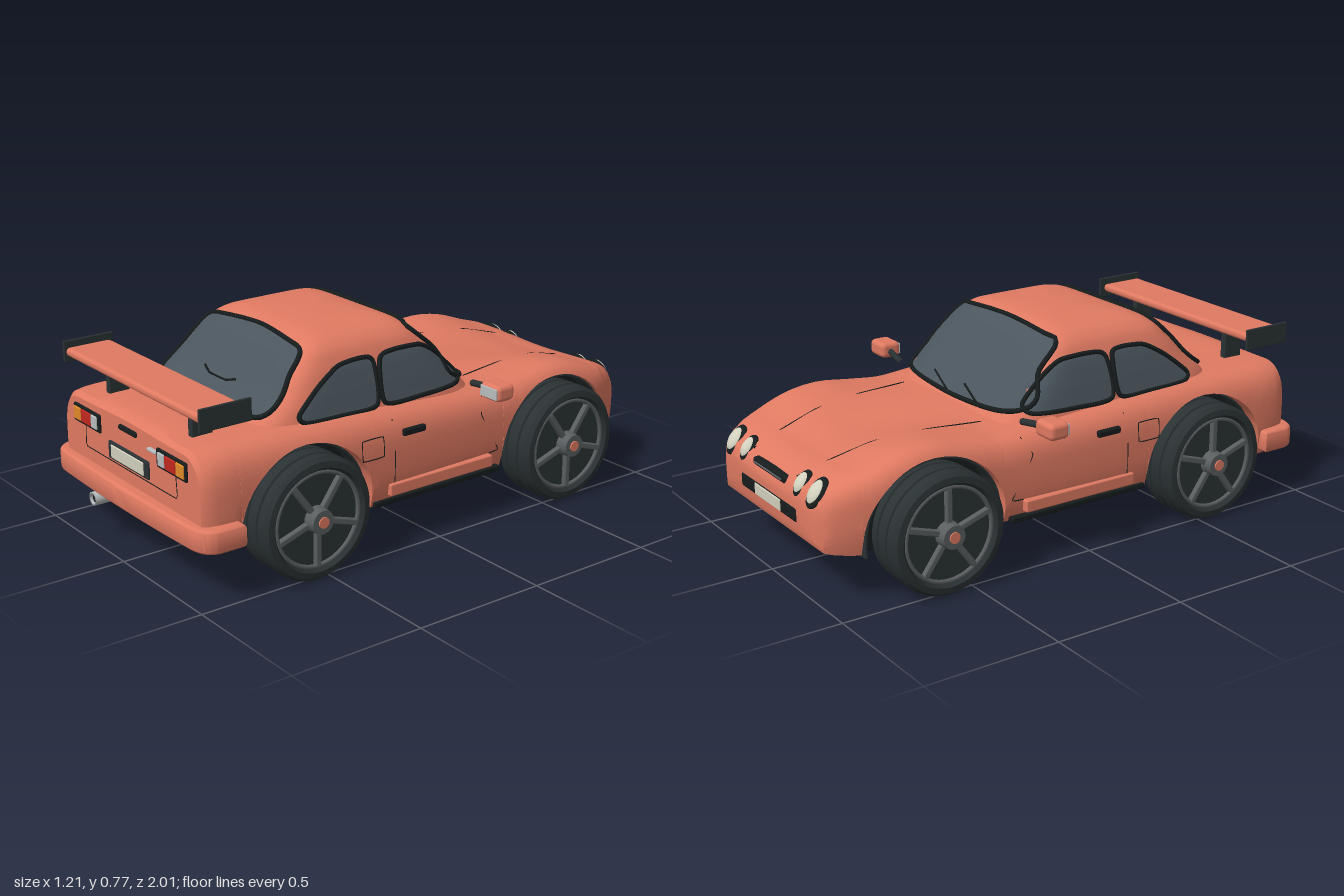
import * as THREE from 'three';
import { toCreasedNormals } from 'three/addons/utils/BufferGeometryUtils.js';
import { RoundedBoxGeometry } from 'three/addons/geometries/RoundedBoxGeometry.js';

const mat = (color, side = THREE.FrontSide) => new THREE.MeshStandardMaterial({ color, side });
const paint = mat(0xe07a62), dark = mat(0x2b3234), black = mat(0x171c1d), steel = mat(0x5a5e60);
const glass = mat(0x4a555d, THREE.DoubleSide), silver = mat(0xb9bdbd), cream = mat(0xd2d0bd);
const amber = mat(0xe08a28), red = mat(0xc0281f);
const V = (x, y, z) => new THREE.Vector3(x, y, z);

// Smooth lookup through rows of [key, ...values]
function table(rows) {
  const f = new THREE.CubicInterpolant(rows.map(r => r[0]), rows.flatMap(r => r.slice(1)), rows[0].length - 1);
  return t => [...f.evaluate(t)];
}

// z: half width, crest height, centre height, crest x, underside height
const bodyRows = [
  [-1, .33, .345, .34, .26, .22], [-.985, .365, .38, .37, .29, .19], [-.95, .39, .41, .4, .31, .18],
  [-.83, .44, .45, .425, .36, .17], [-.72, .455, .487, .445, .37, .17], [-.6, .46, .502, .455, .375, .17],
  [-.45, .46, .487, .47, .37, .17], [-.33, .46, .477, .48, .36, .17], [-.2, .465, .485, .49, .36, .17],
  [.1, .473, .5, .5, .37, .17], [.3, .475, .51, .515, .37, .17], [.55, .475, .515, .52, .37, .17],
  [.75, .475, .515, .52, .37, .17], [.9, .47, .513, .52, .37, .18], [.94, .46, .51, .515, .36, .19],
  [.957, .445, .495, .503, .35, .2]];
const bodyAt = table(bodyRows);
// y: half width, front z, rear z
const cabinRows = [
  [.46, .405, -.285, .69], [.52, .39, -.24, .665], [.6, .37, -.165, .575], [.68, .343, -.09, .5],
  [.73, .31, -.035, .445], [.755, .265, .005, .39], [.766, .21, .04, .34], [.772, .12, .09, .26]];
const cabinAt = table(cabinRows);
const AXLES = [-.6, .55], ARCH = .27, RISE = .245, HUB = .22, P = 7;

// Points on the body and cabin surfaces
function bodyX(z, y) {
  const [w, ys, , xc] = bodyAt(z), y0 = Math.min(.3, ys - .12);
  const u = Math.min(1, Math.max(0, (y - y0) / (ys - y0)));
  return xc + (w - xc) * Math.sqrt(1 - u ** 4) - .02 * (Math.max(0, y0 - y) / .13) ** 2;
}
function bodyY(z, x) {
  const [, ys, yc, xc] = bodyAt(z);
  return yc + (ys - yc) * THREE.MathUtils.smoothstep(Math.abs(x), 0, xc);
}
const bulge = t => Math.max(0, 1 - Math.abs(t) ** P) ** (1 / P);
function cabinX(z, y) {
  const [w, f, r] = cabinAt(y);
  return w * bulge((z - (f + r) / 2) / ((r - f) / 2));
}
function cabinZ(x, y, s) {
  const [w, f, r] = cabinAt(y);
  return (f + r) / 2 + s * (r - f) / 2 * bulge(x / w);
}

// Skin over equal rings, both ends closed
function loft(rings) {
  const n = rings[0].length, pos = rings.flat(), index = [];
  for (let k = 0; k + 1 < rings.length; k++) for (let i = 0; i < n; i++) {
    const a = k * n + i, b = k * n + (i + 1) % n;
    index.push(a, b, a + n, b, b + n, a + n);
  }
  [0, rings.length - 1].forEach((k, end) => {
    const c = pos.length;
    pos.push(rings[k].reduce((s, p) => s.add(p), V(0, 0, 0)).divideScalar(n));
    for (let i = 0; i < n; i++) {
      const a = k * n + i, b = k * n + (i + 1) % n;
      end ? index.push(c, a, b) : index.push(c, b, a);
    }
  });
  const g = new THREE.BufferGeometry().setFromPoints(pos);
  g.setIndex(index);
  return toCreasedNormals(g, .6);
}

function bodyGeometry() {
  const zs = bodyRows.map(r => r[0]);
  for (let z = -.9; z < .9; z += .05) zs.push(z);
  for (const c of AXLES) for (let i = 0; i <= 20; i++) zs.push(c - ARCH * .9999 * Math.cos(i / 20 * Math.PI));
  for (const c of AXLES) zs.push(c - ARCH - .0005, c + ARCH + .0005);
  zs.sort((a, b) => a - b);
  return loft(zs.map(z => {
    const [, ys, , xc, floor] = bodyAt(z);
    let yb = floor;
    for (const c of AXLES) if (Math.abs(z - c) < ARCH) yb = HUB + RISE * Math.sqrt(1 - ((z - c) / ARCH) ** 2);
    const half = [];
    for (let i = 0; i <= 14; i++) {
      const y = yb + (ys - yb) * Math.sin(i / 14 * Math.PI / 2);
      half.push(V(bodyX(z, y), y, z));
    }
    for (let i = 7; i >= 0; i--) half.push(V(xc * i / 8, bodyY(z, xc * i / 8), z));
    return [...half, ...half.slice(0, -1).reverse().map(p => V(-p.x, p.y, z))];
  }));
}

function cabinGeometry() {
  const ys = [];
  for (let i = 0; i <= 24; i++) ys.push(.46 + .312 * Math.sin(i / 24 * Math.PI / 2));
  return loft(ys.map(y => {
    const [w, f, r] = cabinAt(y), ring = [];
    for (let i = 0; i < 72; i++) {
      const a = i / 72 * Math.PI * 2, c = Math.cos(a), s = Math.sin(a);
      ring.push(V(w * Math.sign(c) * Math.abs(c) ** (2 / P), y, (f + r) / 2 - (r - f) / 2 * Math.sign(s) * Math.abs(s) ** (2 / P)));
    }
    return ring;
  }));
}

// Opening above a wheel in (z, y); inset shrinks it
function archPoints(inset) {
  const pts = [new THREE.Vector2(ARCH - inset, .165)];
  for (let i = 0; i <= 24; i++) {
    const a = i / 24 * Math.PI;
    pts.push(new THREE.Vector2((ARCH - inset) * Math.cos(a), HUB + (RISE - inset) * Math.sin(a)));
  }
  return [...pts, new THREE.Vector2(inset - ARCH, .165)];
}

export function createModel() {
  const car = new THREE.Group();
  car.name = 'car';
  const add = (name, g, m, x = 0, y = 0, z = 0, parent = car) => {
    const mesh = new THREE.Mesh(g, m);
    mesh.name = name;
    mesh.position.set(x, y, z);
    parent.add(mesh);
    return mesh;
  };
  const box = (name, m, w, h, d, x, y, z, r = .006) => add(name, new RoundedBoxGeometry(w, h, d, 2, r), m, x, y, z);
  const line = (name, pts, r = .002, closed = false, m = black) =>
    add(name, new THREE.TubeGeometry(new THREE.CatmullRomCurve3(pts, closed, 'catmullrom', .1), pts.length * 8, r, 6, closed), m);

  // Glass laid on the cabin surface, with a rubber seal round it
  function pane(name, outline, project) {
    const curve = new THREE.CatmullRomCurve3(outline.map(p => V(p[0], p[1], 0)), true, 'catmullrom', .35);
    const edge = curve.getSpacedPoints(64).slice(0, 64), pos = [], index = [];
    const mid = edge.reduce((s, p) => s.add(p), V(0, 0, 0)).divideScalar(64);
    for (let k = 0; k <= 8; k++) for (let i = 0; i < 64; i++) {
      const p = mid.clone().lerp(edge[i], k / 8), j = (i + 1) % 64;
      pos.push(project(p.x, p.y));
      if (k < 8) index.push(k * 64 + i, k * 64 + 64 + i, k * 64 + j, k * 64 + j, k * 64 + 64 + i, k * 64 + 64 + j);
    }
    const g = new THREE.BufferGeometry().setFromPoints(pos);
    g.setIndex(index);
    g.computeVertexNormals();
    add(name, g, glass);
    add(name + 'Seal', new THREE.TubeGeometry(new THREE.CatmullRomCurve3(pos.slice(-64), true), 96, .009, 6, true), black);
  }

  add('body', bodyGeometry(), paint);
  add('cabin', cabinGeometry(), paint);
  box('underbody', black, .72, .19, 1.78, 0, .25, .02);

  // Windows
  pane('windshield', [[-.285, .735], [0, .752], [.285, .735], [.325, .64], [.355, .525], [0, .5], [-.355, .525], [-.325, .64]],
    (x, y) => V(x, y + .002, cabinZ(x, y, -1) - .006));
  pane('rearWindow', [[-.265, .73], [0, .748], [.265, .73], [.305, .66], [.32, .54], [0, .53], [-.32, .54], [-.305, .66]],
    (x, y) => V(x, y + .002, cabinZ(x, y, 1) + .006));
  for (const s of [1, -1]) {
    pane('doorWindow', [[.17, .515], [.165, .66], [.1, .68], [-.02, .675], [-.09, .635], [-.185, .545], [-.165, .515], [0, .508]],
      (z, y) => V(s * (cabinX(z, y) + .005), y, z));
    pane('quarterWindow', [[.205, .515], [.195, .66], [.24, .678], [.34, .67], [.43, .62], [.525, .54], [.5, .512], [.35, .508]],
      (z, y) => V(s * (cabinX(z, y) + .005), y, z));
    // Windshield wiper
    line('wiper', [[s < 0 ? -.18 : .02, .51], [s < 0 ? -.05 : .15, .545]].map(([x, y]) => V(x, y, cabinZ(x, y, -1) - .014)), .004);
  }
  line('rearWiper', [[-.1, .605], [-.05, .592], [.05, .592], [.1, .605]].map(([x, y]) => V(x, y, cabinZ(x, y, 1) + .014)), .004);

  // Wheels: tyre with tread grooves, recessed rim and five spokes
  const tyre = new THREE.LatheGeometry([[.165, .06], [.185, .083], [.207, .08], [.219, .065], [.22, .034], [.212, .031], [.212, .025],
    [.22, .022], [.22, -.022], [.212, -.025], [.212, -.031], [.22, -.034], [.219, -.065], [.207, -.08], [.165, -.083], [.001, -.075]]
    .reverse().map(p => new THREE.Vector2(...p)), 56);
  const tyreGeo = toCreasedNormals(tyre, .5);
  for (const s of [1, -1]) for (const z of AXLES) {
    const wheel = new THREE.Group();
    wheel.name = z < 0 ? 'frontWheel' : 'rearWheel';
    wheel.position.set(s * .453, HUB, z);
    wheel.rotation.z = -s * Math.PI / 2;
    car.add(wheel);
    add('tyre', tyreGeo, dark, 0, 0, 0, wheel);
    add('rimDisc', new THREE.CylinderGeometry(.17, .17, .11, 40), dark, 0, 0, 0, wheel);
    add('rimRing', new THREE.TorusGeometry(.168, .008, 8, 48), steel, 0, .066, 0, wheel).rotation.x = Math.PI / 2;
    add('hub', new THREE.CylinderGeometry(.042, .048, .05, 24), steel, 0, .075, 0, wheel);
    add('hubCap', new THREE.CylinderGeometry(.02, .022, .05, 20), paint, 0, .08, 0, wheel);
    for (let i = 0; i < 5; i++) {
      const arm = new THREE.Group();
      arm.rotation.y = i * Math.PI * .4;
      wheel.add(arm);
      add('spoke', new RoundedBoxGeometry(.135, .024, .022, 1, .005), steel, .1, .062, 0, arm);
    }
    // Wheel well: inner wall and arch lining
    const ring = new THREE.Shape([...archPoints(.003), ...archPoints(.01).reverse()]);
    const turn = (g, x0) => g.rotateY(Math.PI / 2).translate(x0, 0, 0);
    const wall = turn(new THREE.ExtrudeGeometry(new THREE.Shape(archPoints(.006)), { depth: .03, bevelEnabled: false }), s > 0 ? .335 : -.365);
    const lining = turn(new THREE.ExtrudeGeometry(ring, { depth: .075, bevelEnabled: false }), s > 0 ? .355 : -.43);
    add('wellWall', wall, black, 0, 0, z);
    add('wellLining', lining, dark, 0, 0, z);
  }

  for (const s of [1, -1]) {
    const onSide = pts => pts.map(([z, y]) => V(s * (bodyX(z, y) + .0005), y, z));
    // Sills, door seams, fuel flap and handle
    box('sill', paint, .03, .045, .47, s * .468, .222, -.025);
    box('sillSkirt', black, .05, .022, .58, s * .445, .177, -.02);
    line('doorRearSeam', onSide([[.185, .24], [.185, .35], [.18, .47]]));
    line('doorFrontSeam', onSide([[-.26, .245], [-.305, .25], [-.22, .4], [-.25, .46]]));
    line('fuelFlapSeam', onSide([[.325, .355], [.325, .425], [.235, .425], [.235, .355]]), .002, true);
    box('doorHandle', black, .02, .026, .1, s * (bodyX(.1, .42) + .003), .42, .1, .008);
    line('hoodSeam', [-.97, -.85, -.7, -.5, -.3].map(z => {
      const x = s * THREE.MathUtils.mapLinear(z, -1, -.3, .155, .26);
      return V(x, bodyY(z, x), z);
    }));

    // Door mirrors
    line('mirrorArm', [V(s * .4, .505, -.225), V(s * .45, .512, -.22), V(s * .52, .52, -.21)], .012, false, dark);
    box('mirror', paint, .1, .06, .08, s * .553, .522, -.207, .018);
    box('mirrorGlass', silver, .085, .04, .006, s * .553, .522, -.167, .002);

    // Twin headlights
    for (const [x, r] of [[.3, .036], [.2, .031]]) for (const [name, m, k, d] of [['headlightRim', black, 1.2, .018], ['headlight', cream, 1, .026]]) {
      const lamp = add(name, new THREE.SphereGeometry(1, 24, 16), m, s * x, .38, -.968);
      lamp.scale.set(r * k, r * k * 1.35, d);
      lamp.rotation.x = Math.PI + .64;
    }

    // Tail light cluster
    box('tailLightFrame', black, .185, .068, .02, s * .282, .438, .955);
    box('turnLamp', amber, .048, .048, .012, s * .341, .438, .964, .004);
    box('brakeLamp', red, .066, .048, .012, s * .281, .438, .964, .004);
    box('reverseLamp', silver, .04, .048, .012, s * .224, .438, .964, .004);

    // Wing supports and end plates
    box('wingSupport', dark, .026, .12, .08, s * .27, .57, .84, .004);
    box('wingEndPlate', dark, .01, .08, .2, s * .445, .635, .855, .004);
  }
  box('wing', paint, .88, .032, .18, 0, .636, .86, .014);

  // Rear bumper, wrapped round the corners
  const plan = new THREE.Shape();
  plan.moveTo(-.495, -.84);
  plan.lineTo(.495, -.84);
  plan.lineTo(.495, -.92);
  plan.quadraticCurveTo(.49, -.97, .42, -.975);
  plan.quadraticCurveTo(0, -.995, -.42, -.975);
  plan.quadraticCurveTo(-.49, -.97, -.495, -.92);
  const bumper = new THREE.ExtrudeGeometry(plan, { depth: .05, bevelThickness: .017, bevelSize: .015, bevelSegments: 4, curveSegments: 16 });
  add('rearBumper', toCreasedNormals(bumper.rotateX(-Math.PI / 2), .7), paint, 0, .208, 0);
  box('rearValance', black, .72, .035, .1, 0, .177, .88);

  // Trunk lid, plate and exhaust
  line('trunkSeam', [[-.3, .4], [-.305, .335], [-.29, .325], [.29, .325], [.305, .335], [.3, .4]].map(([x, y]) => V(x, y, .957)));
  box('trunkHandle', black, .115, .02, .02, 0, .472, .957, .008);
  box('trunkLock', silver, .055, .012, .016, .165, .452, .962, .004);
  box('rearPlateFrame', dark, .265, .065, .02, 0, .368, .956);
  box('rearPlate', cream, .215, .048, .012, 0, .368, .964, .003);
  const pipe = new THREE.LatheGeometry([[.018, -.04], [.018, .05], [.025, .05], [.025, -.05]].map(p => new THREE.Vector2(...p)), 24);
  add('exhaust', pipe, mat(0xb9bdbd, THREE.DoubleSide), -.22, .157, .94).rotation.x = Math.PI / 2;
  add('exhaustBore', new THREE.CylinderGeometry(.018, .018, .08, 20), black, -.22, .157, .94).rotation.x = Math.PI / 2;

  // Nose: upper grille, lower intake and plate
  box('grille', black, .24, .03, .04, 0, .367, -.977, .012);
  box('grilleBar', steel, .2, .006, .01, 0, .367, -.996, .002);
  box('lowerIntake', black, .42, .06, .03, 0, .272, -.988, .014);
  box('frontPlate', cream, .19, .042, .012, 0, .272, -1, .003);
  return car;
}
